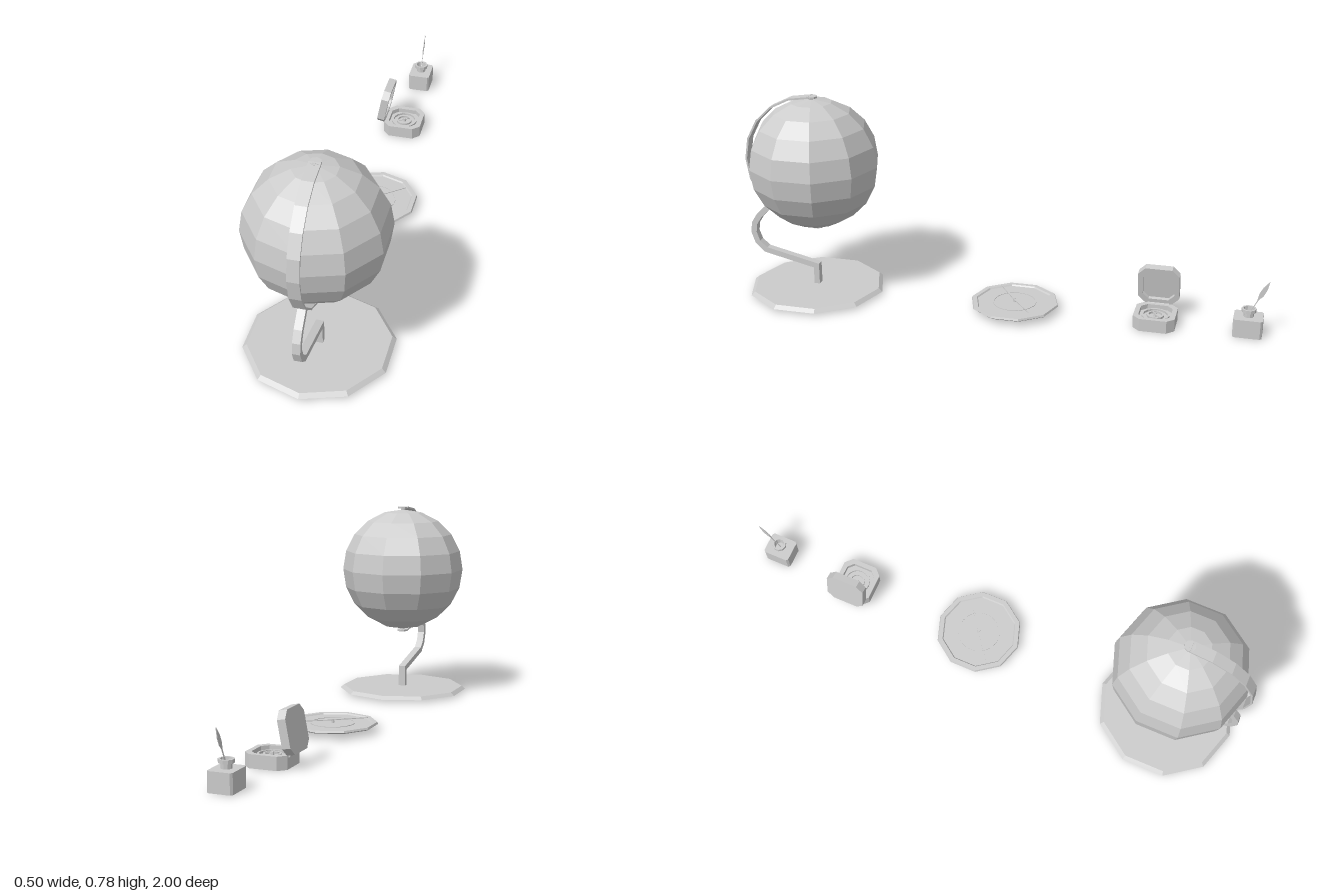
import * as THREE from 'three';

const material = new THREE.MeshStandardMaterial({ color: 0xcccccc, flatShading: true, side: THREE.DoubleSide });
const V = (x, y) => new THREE.Vector2(x, y);

function add(parent, name, geometry, x = 0, y = 0, z = 0) {
  const mesh = new THREE.Mesh(geometry, material);
  mesh.name = name;
  mesh.position.set(x, y, z);
  parent.add(mesh);
  return mesh;
}

function group(parent, name, x, y, z) {
  const g = new THREE.Group();
  g.name = name;
  g.position.set(x, y, z);
  parent.add(g);
  return g;
}

// Outline in the (z, y) plane, extruded symmetrically along x
function sideExtrude(points, width) {
  return new THREE.ExtrudeGeometry(new THREE.Shape(points), { depth: width, bevelEnabled: false })
    .translate(0, 0, -width / 2).rotateY(-Math.PI / 2);
}

// Bent bar of constant thickness that follows a polyline in the (z, y) plane
function bentBar(path, thickness, width) {
  const left = [], right = [];
  path.forEach((p, i) => {
    const a = path[Math.max(i - 1, 0)], b = path[Math.min(i + 1, path.length - 1)];
    const d1 = (i ? p.clone().sub(a) : b.clone().sub(p)).normalize();
    const d2 = (i < path.length - 1 ? b.clone().sub(p) : d1.clone()).normalize();
    const n = V(-d1.y - d2.y, d1.x + d2.x).normalize();
    const reach = thickness / 2 / n.dot(V(-d1.y, d1.x));
    left.push(p.clone().addScaledVector(n, reach));
    right.unshift(p.clone().addScaledVector(n, -reach));
  });
  return sideExtrude([...left, ...right], width);
}

// Rectangle with cut corners
function cutRect(w, d, c) {
  const x = w / 2, y = d / 2;
  return [V(x, c - y), V(x, y - c), V(x - c, y), V(c - x, y),
    V(-x, y - c), V(-x, c - y), V(c - x, -y), V(x - c, -y)];
}

// Upright slab with optional hole, standing on y = 0
function slab(points, height, hole) {
  const shape = new THREE.Shape(points);
  if (hole) shape.holes.push(new THREE.Path(hole));
  return new THREE.ExtrudeGeometry(shape, { depth: height, bevelEnabled: false }).rotateX(-Math.PI / 2);
}

// Shallow open tray with cut corners
function tray(parent, name, w, d, height, floor) {
  add(parent, name + 'Wall', slab(cutRect(w, d, 0.027), height, cutRect(w - 0.036, d - 0.036, 0.022)));
  add(parent, name + 'Floor', slab(cutRect(w - 0.034, d - 0.034, 0.022), floor));
}

const lathe = (pairs, sides) => new THREE.LatheGeometry(pairs.map(([r, y]) => V(r, y)), sides);

function buildGlobe(root) {
  const globe = group(root, 'deskGlobe', 0, 0, 0.727);
  add(globe, 'base', new THREE.CylinderGeometry(0.25, 0.265, 0.013, 10), 0, 0.0165, 0.009);
  add(globe, 'sphere', new THREE.SphereGeometry(0.25, 10, 10).rotateY(Math.PI / 2), 0, 0.52, -0.002);

  // Half meridian band with a rounded tab and a pin at each pole
  const arc = [];
  for (let i = 0; i <= 10; i++) {
    const a = Math.PI / 2 - i * Math.PI / 10;
    arc.push(V(0.269 * Math.cos(a), 0.259 * Math.sin(a)));
  }
  add(globe, 'meridianBand', bentBar(arc, 0.007, 0.042), 0, 0.52, 0);
  for (const s of [1, -1]) {
    add(globe, 'bandTab', new THREE.CylinderGeometry(0.021, 0.021, 0.007, 8), 0, 0.52 + s * 0.258, -0.005);
    add(globe, 'polePin', new THREE.CylinderGeometry(0.01, 0.01, 0.02, 8), 0, 0.52 + s * 0.252, 0);
  }

  // Curved arm from the base to the band
  add(globe, 'standArm', bentBar([
    V(0.008, 0.02), V(0.008, 0.098), V(0.215, 0.145), V(0.248, 0.175), V(0.262, 0.215),
    V(0.257, 0.252), V(0.235, 0.287), V(0.184, 0.336)], 0.022, 0.028));
}

function buildCompass(root) {
  const compass = group(root, 'flatCompass', 0, 0.022, -0.058);
  // Dish with a raised rim
  add(compass, 'dish', lathe([[0, 0], [0.163, 0], [0.168, 0.004], [0.165, 0.011], [0.148, 0.011], [0.144, 0.006], [0, 0.006]], 10));
  add(compass, 'dialRing', lathe([[0.083, 0.006], [0.083, 0.008], [0.078, 0.008], [0.078, 0.006]], 24));
  add(compass, 'pivot', new THREE.CylinderGeometry(0.005, 0.007, 0.014, 8), 0, 0.013, 0);
  const needle = add(compass, 'needle', slab([V(-0.135, 0), V(0, -0.005), V(0.135, 0), V(0, 0.005)], 0.003), 0, 0.0155, 0);
  needle.rotation.y = 0.63;
}

function buildPocketDial(root) {
  const box = group(root, 'pocketDial', 0, 0, -0.593);
  tray(box, 'case', 0.154, 0.154, 0.048, 0.03);
  // Concentric rings and pointer inside the case
  for (const r of [0.052, 0.032]) {
    add(box, 'dialRing', lathe([[r, 0.03], [r, 0.038], [r - 0.007, 0.038], [r - 0.007, 0.03]], 16));
  }
  add(box, 'dialPivot', new THREE.CylinderGeometry(0.005, 0.007, 0.014, 8), 0, 0.036, 0);
  add(box, 'dialPointer', slab([V(-0.024, 0), V(0, -0.005), V(0.024, 0), V(0, 0.005)], 0.003), 0, 0.037, 0).rotation.y = 0.6;
  // Open lid leaning over the case
  const lid = group(box, 'lid', -0.0908, 0.1278, 0);
  lid.rotation.z = -Math.PI / 2 - 0.185;
  tray(lid, 'lid', 0.152, 0.154, 0.03, 0.015);
  add(box, 'hinge', new THREE.CylinderGeometry(0.006, 0.006, 0.08, 8).rotateX(Math.PI / 2), -0.078, 0.046, 0);
}

function buildInkwell(root) {
  const ink = group(root, 'inkwell', 0, 0, -0.931);
  add(ink, 'bottle', slab(cutRect(0.088, 0.106, 0.007), 0.07));
  add(ink, 'neck', lathe([[0.019, 0.07], [0.019, 0.086], [0.027, 0.088], [0.027, 0.101],
    [0.02, 0.101], [0.017, 0.075], [0, 0.075]], 10));
  // Quill leaning backwards
  add(ink, 'quillStem', bentBar([V(0.002, 0.075), V(-0.062, 0.198)], 0.003, 0.003));
  add(ink, 'quillFeather', sideExtrude([V(-0.026, 0.132), V(-0.047, 0.152), V(-0.06, 0.178),
    V(-0.068, 0.213), V(-0.045, 0.186), V(-0.033, 0.163)], 0.003));
}

export function createModel() {
  const root = new THREE.Group();
  root.name = 'navigationSet';
  buildGlobe(root);
  buildCompass(root);
  buildPocketDial(root);
  buildInkwell(root);
  return root;
}
